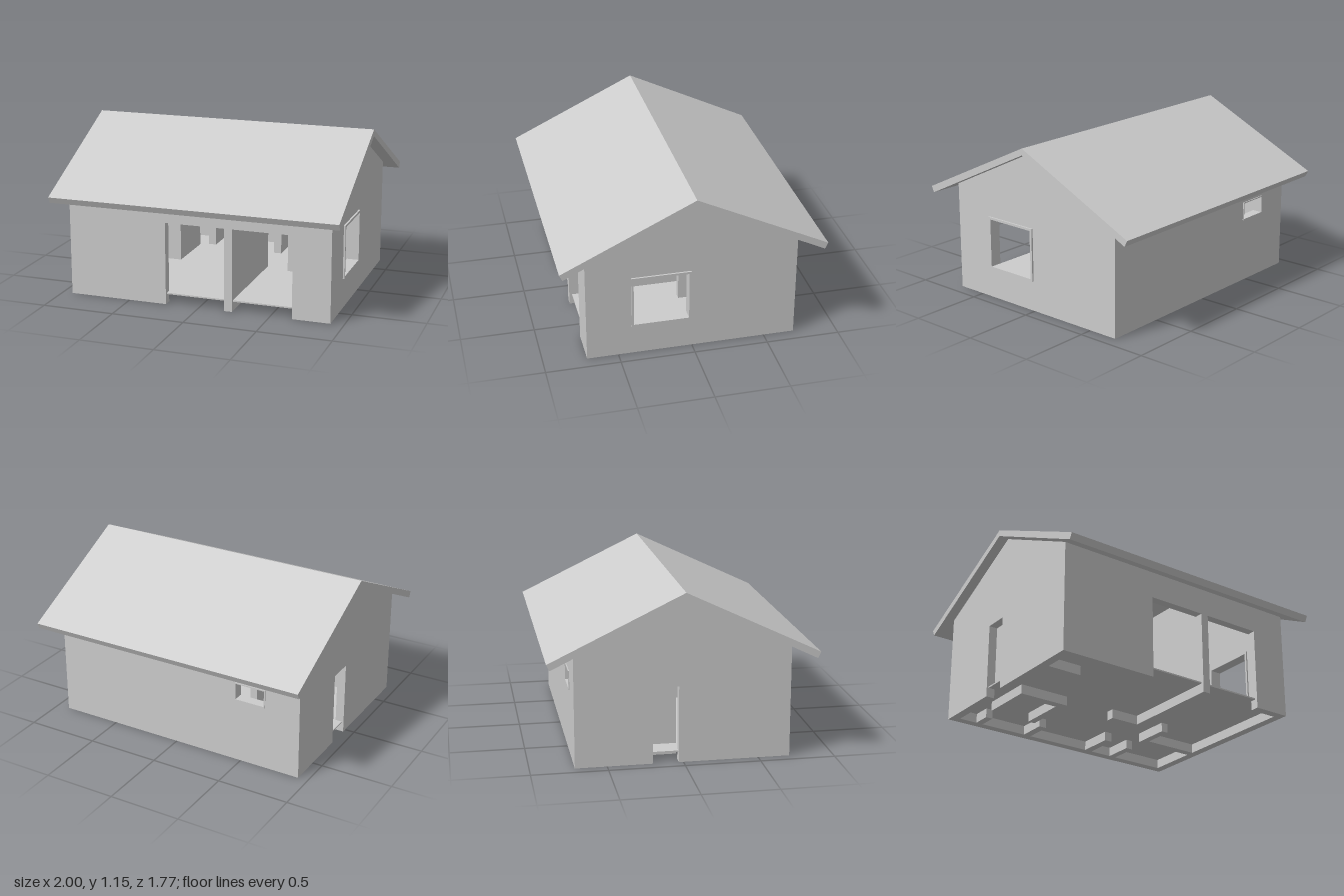
import * as THREE from 'three';

export function createModel() {
  const house = new THREE.Group();
  house.name = 'house';
  const grey = new THREE.MeshStandardMaterial({ color: 0xcccccc });
  grey.name = 'plain grey';
  const T = 0.06; // wall thickness

  const add = (name, geometry, parent = house) => {
    const mesh = new THREE.Mesh(geometry, grey);
    mesh.name = name;
    parent.add(mesh);
    return mesh;
  };
  const outline = (pts) => new THREE.Shape(pts.map(([a, b]) => new THREE.Vector2(a, b)));
  const rectPath = (a0, a1, y0, y1) =>
    new THREE.Path([[a0, y0], [a0, y1], [a1, y1], [a1, y0]].map(([a, b]) => new THREE.Vector2(a, b)));
  const extrude = (shape, depth) => new THREE.ExtrudeGeometry(shape, { depth, bevelEnabled: false });
  // Box given by its limits
  const box = (name, x0, x1, y0, y1, z0, z1, parent) => {
    const mesh = add(name, new THREE.BoxGeometry(x1 - x0, y1 - y0, z1 - z0), parent);
    mesh.position.set((x0 + x1) / 2, (y0 + y1) / 2, (z0 + z1) / 2);
    return mesh;
  };
  // Turns a z-y profile into a solid running along +x from x0
  const alongX = (name, shape, x0, length) => {
    const geo = extrude(shape, length);
    geo.rotateY(-Math.PI / 2); // profile x becomes z, depth becomes -x
    geo.translate(x0 + length, 0, 0);
    return add(name, geo);
  };

  // Gable roof with overhang
  alongX('roof', outline([
    [-0.865, 0.68], [0, 1.10], [0.865, 0.68], [0.885, 0.722], [0, 1.146], [-0.885, 0.722],
  ]), -1, 2);

  // Gable wall with window on the left side of the model
  const windowGable = outline([[-0.71, 0], [0.71, 0], [0.71, 0.755], [0, 1.10], [-0.71, 0.755]]);
  windowGable.holes.push(rectPath(0.015, 0.405, 0.215, 0.575));
  alongX('windowGableWall', windowGable, 0.91 - T, T);

  // Gable wall with a door notch
  alongX('doorGableWall', outline([
    [-0.71, 0], [-0.20, 0], [-0.20, 0.515], [-0.03, 0.515], [-0.03, 0],
    [0.71, 0], [0.71, 0.755], [0, 1.10], [-0.71, 0.755],
  ]), -0.93, T);

  // Front wall with two tall openings
  const front = add('frontWall', extrude(outline([
    [-0.87, 0], [-0.235, 0], [-0.235, 0.57], [0.18, 0.57], [0.18, 0], [0.235, 0],
    [0.235, 0.57], [0.65, 0.57], [0.65, 0], [0.85, 0], [0.85, 0.755], [-0.87, 0.755],
  ]), T));
  front.position.z = 0.71 - T;

  // Back wall with a small high window
  const back = outline([[-0.87, 0], [0.85, 0], [0.85, 0.755], [-0.87, 0.755]]);
  back.holes.push(rectPath(-0.675, -0.46, 0.455, 0.575));
  add('backWall', extrude(back, T)).position.z = -0.71;

  // Window frames standing slightly proud of the walls
  const frame = (a0, a1, y0, y1, w) => {
    const shape = outline([[a0, y0], [a1, y0], [a1, y1], [a0, y1]]);
    shape.holes.push(rectPath(a0 + w, a1 - w, y0 + w, y1 - w));
    return shape;
  };
  alongX('sideWindowFrame', frame(0.007, 0.41, 0.21, 0.58, 0.016), 0.84, 0.082);
  add('backWindowFrame', extrude(frame(-0.68, -0.455, 0.45, 0.58, 0.008), 0.07)).position.z = -0.716;

  // Thin raised floor
  box('floor', -0.915, 0.86, 0.065, 0.075, -0.66, 0.69);

  // Inner partitions: x0, x1, z0, z1
  const partitions = new THREE.Group();
  partitions.name = 'partitions';
  house.add(partitions);
  [
    [0.18, 0.235, -0.08, 0.65],
    [-0.03, 0.18, -0.08, -0.02],
    [0.45, 0.85, -0.29, -0.235],
    [0.40, 0.45, -0.29, -0.02],
    [0.40, 0.45, -0.65, -0.44],
    [0.18, 0.235, -0.65, -0.40],
    [-0.35, -0.295, -0.65, -0.45],
    [-0.46, -0.41, -0.42, -0.02],
    [-0.72, -0.46, -0.08, -0.02],
    [-0.77, -0.72, -0.40, -0.02],
    [-0.74, -0.69, -0.65, -0.52],
    [-0.87, -0.625, 0.40, 0.455],
  ].forEach(([x0, x1, z0, z1]) => box('partition', x0, x1, 0, 0.75, z0, z1, partitions));

  return house;
}
